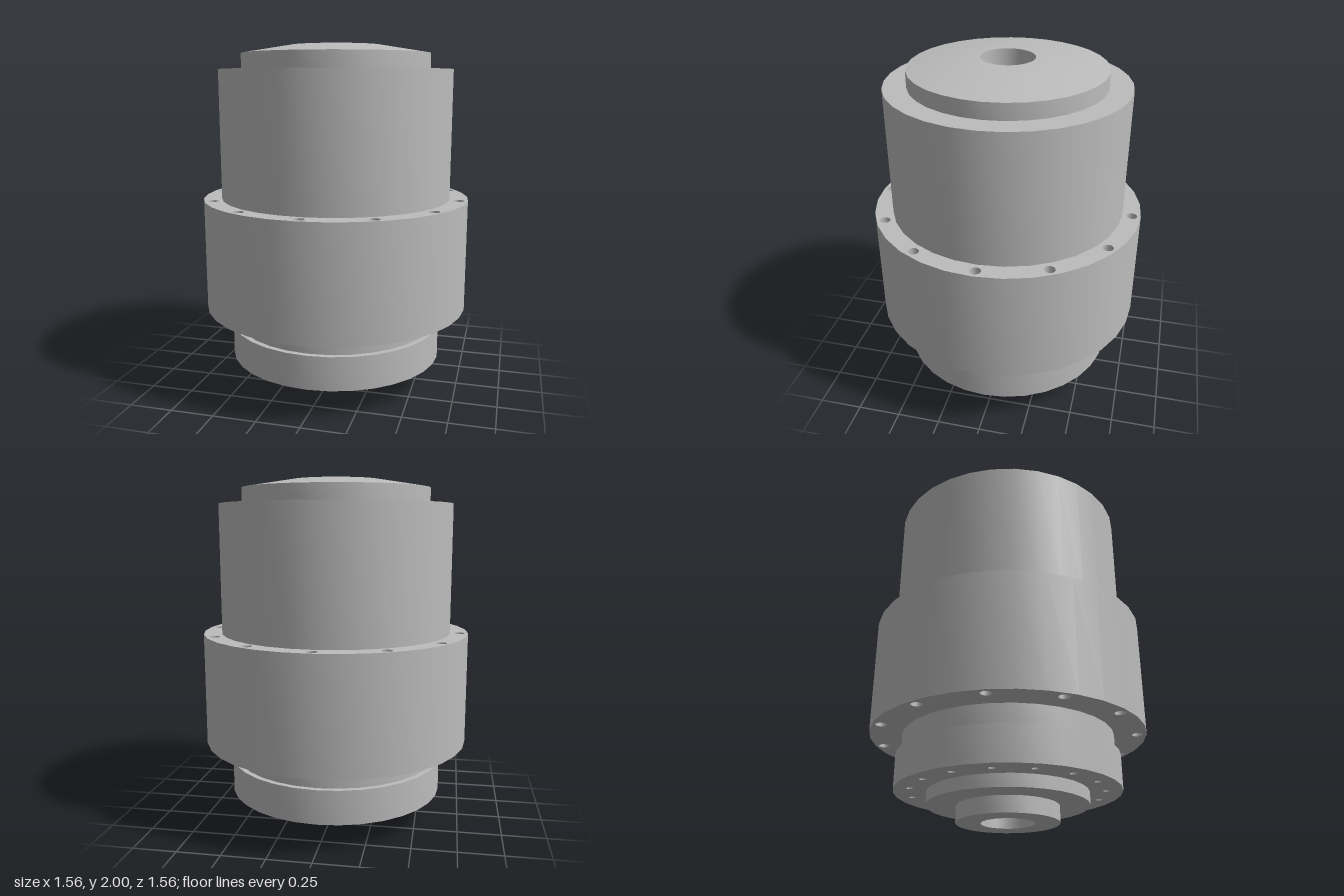
import * as THREE from 'three';
import { toCreasedNormals } from 'three/addons/utils/BufferGeometryUtils.js';

const SIDES = 32;
const CREASE = 0.6;
const BORE = 0.148;

// Revolved shell; a profile running up faces outward, running down faces inward
function revolve(profile, sides = SIDES) {
  const points = profile.map(([r, y]) => new THREE.Vector2(r, y));
  return toCreasedNormals(new THREE.LatheGeometry(points, sides), CREASE);
}

function circlePoints(radius, sides, cx = 0, cy = 0) {
  return Array.from({ length: sides }, (_, i) => {
    const a = (i / sides) * Math.PI * 2;
    return new THREE.Vector2(cx + radius * Math.cos(a), cy + radius * Math.sin(a));
  });
}

function boltCentres(count, radius) {
  return circlePoints(radius, count);
}

// Flat annulus pierced by a bolt circle, facing up or down
function drilledFace(inner, outer, y, bolts, up) {
  const shape = new THREE.Shape(circlePoints(outer, SIDES));
  shape.holes.push(new THREE.Path(circlePoints(inner, SIDES)));
  for (const c of boltCentres(bolts.count, bolts.circle)) {
    shape.holes.push(new THREE.Path(circlePoints(bolts.radius, 12, c.x, c.y)));
  }
  return new THREE.ShapeGeometry(shape)
    .rotateX(up ? -Math.PI / 2 : Math.PI / 2)
    .translate(0, y, 0);
}

export function createModel() {
  const model = new THREE.Group();
  const steel = new THREE.MeshStandardMaterial({ color: 0xbcbcbc });
  steel.name = 'steel grey';

  const add = (name, geometry) => {
    const mesh = new THREE.Mesh(geometry, steel);
    mesh.name = name;
    model.add(mesh);
    return mesh;
  };

  const addHoles = (name, bolts, profile) => {
    const group = new THREE.Group();
    group.name = name;
    const geometry = revolve(profile, 12);
    for (const c of boltCentres(bolts.count, bolts.circle)) {
      const hole = new THREE.Mesh(geometry, steel);
      hole.name = 'boltHole';
      hole.position.set(c.x, 0, c.y);
      group.add(hole);
    }
    model.add(group);
  };

  const bodyBolts = { count: 12, circle: 0.73, radius: 0.031 };
  const flangeBolts = { count: 16, circle: 0.54, radius: 0.019 };

  // Stepped foot
  add('bottomSpigot', revolve([[BORE, 0], [0.285, 0], [0.285, 0.09]]));
  add('bottomStep', revolve([[0.285, 0.09], [0.45, 0.09], [0.45, 0.16]]));

  // Lower flange with blind holes underneath
  add('lowerFlange', revolve([[0.63, 0.16], [0.63, 0.355], [0.6, 0.355]]));
  add('lowerFlangeUnderside', drilledFace(0.45, 0.63, 0.16, flangeBolts, false));
  addHoles('lowerFlangeHoles', flangeBolts, [[0, 0.34], [0.019, 0.34], [0.019, 0.16]]);

  add('collar', revolve([[0.6, 0.355], [0.6, 0.47]]));

  // Wide main body with through holes
  add('mainBody', revolve([[0.78, 0.47], [0.78, 1.12]]));
  add('mainBodyUnderside', drilledFace(0.6, 0.78, 0.47, bodyBolts, false));
  add('mainBodyShoulder', drilledFace(0.675, 0.78, 1.12, bodyBolts, true));
  addHoles('mainBodyHoles', bodyBolts, [[0.031, 1.12], [0.031, 0.47]]);

  // Upper drum and shallow crowned cap
  add('upperDrum', revolve([[0.675, 1.12], [0.675, 1.86], [0.545, 1.86]]));
  add('crownedCap', revolve([[0.545, 1.86], [0.545, 1.95], [0.26, 1.997], [BORE, 2]]));

  // Central bore through the whole body
  add('centralBore', revolve([[BORE, 2], [BORE, 0]]));

  return model;
}
